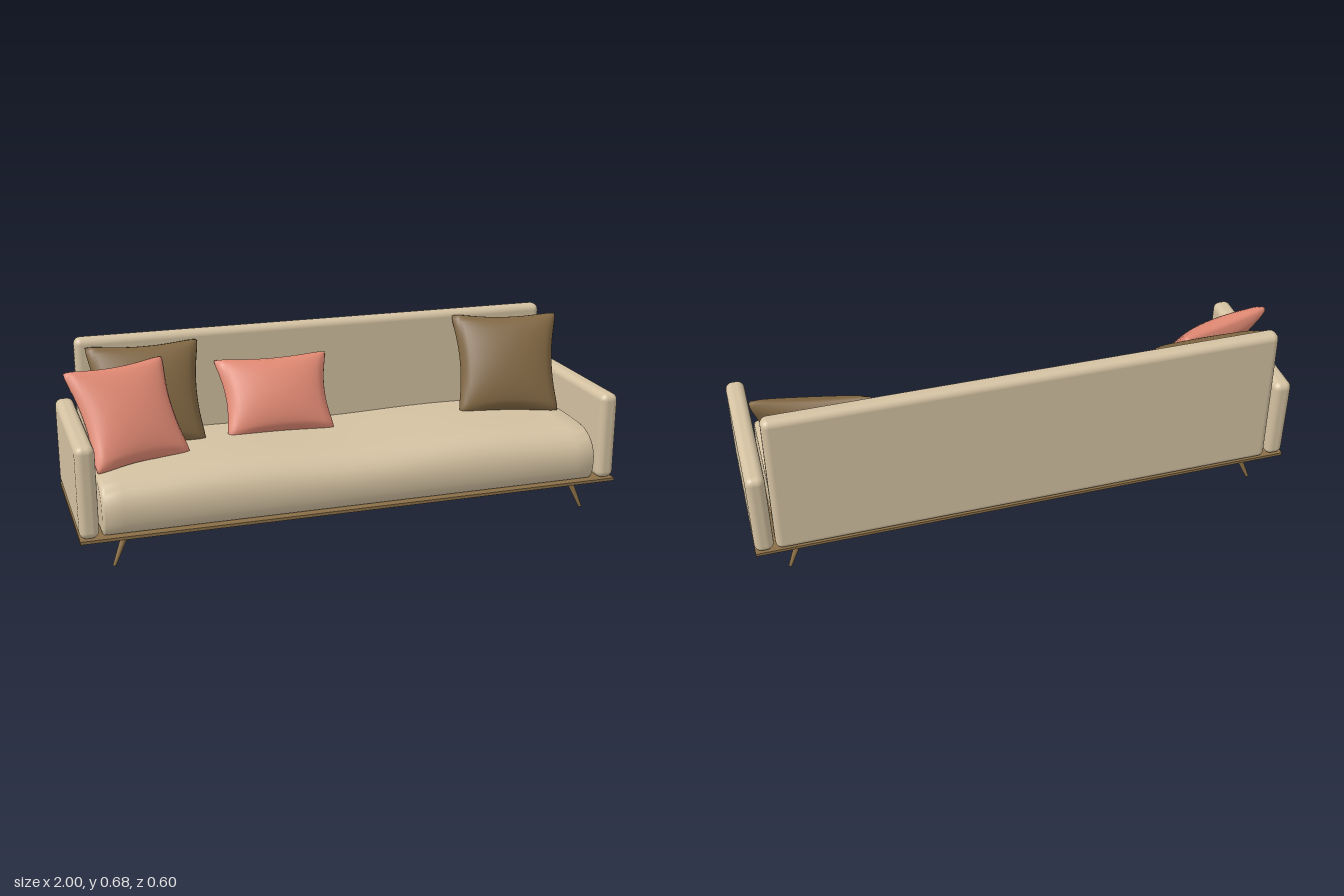
import * as THREE from 'three';
import { mergeVertices, toCreasedNormals } from 'three/addons/utils/BufferGeometryUtils.js';
import { RoundedBoxGeometry } from 'three/addons/geometries/RoundedBoxGeometry.js';

const flat = (name, color) => Object.assign(new THREE.MeshStandardMaterial({ color }), { name });

// Applies a rule to every vertex of a geometry
function warp(geometry, rule) {
  const pos = geometry.attributes.position;
  const p = new THREE.Vector3();
  for (let i = 0; i < pos.count; i++) {
    p.fromBufferAttribute(pos, i);
    rule(p);
    pos.setXYZ(i, p.x, p.y, p.z);
  }
  return geometry;
}

// Plump square pillow with pinched edges and soft corners
function pillowGeometry(w, h, thickness) {
  const g = new THREE.BoxGeometry(2, 2, 2, 24, 24, 2);
  g.deleteAttribute('uv');
  g.deleteAttribute('normal');
  const merged = mergeVertices(g);
  warp(merged, (p) => {
    const u = p.x, v = p.y;
    const fill = Math.sqrt((1 - u * u) * (1 - v * v));
    const corner = 1 - 0.05 * Math.pow(u * v, 8);
    const rim = p.z === 0 ? 1.02 : 1;
    p.x = (w / 2) * u * (1 - 0.13 * (1 - v * v)) * (1 + 0.03 * v) * corner * rim;
    p.y = (h / 2) * v * (1 - 0.1 * (1 - u * u)) * corner * rim;
    p.z *= (thickness / 2) * (0.16 + 0.84 * fill);
  });
  merged.computeVertexNormals();
  return merged;
}

// Seat cushion: rounded side profile run along x, with a slight dip in the middle
function seatGeometry() {
  const s = new THREE.Shape();
  // profile x is -z
  s.moveTo(0.2, 0.122);
  s.lineTo(-0.23, 0.122);
  s.bezierCurveTo(-0.265, 0.122, -0.274, 0.145, -0.276, 0.185);
  s.bezierCurveTo(-0.278, 0.25, -0.235, 0.288, -0.16, 0.292);
  s.bezierCurveTo(-0.05, 0.298, 0.1, 0.298, 0.2, 0.288);
  s.lineTo(0.2, 0.122);
  const bevel = 0.018, length = 1.84;
  const g = new THREE.ExtrudeGeometry(s, {
    depth: length - 2 * bevel, steps: 32, curveSegments: 10,
    bevelEnabled: true, bevelThickness: bevel, bevelSize: bevel, bevelSegments: 4,
  });
  g.translate(0, 0, -(length / 2 - bevel));
  g.rotateY(Math.PI / 2);
  warp(g, (p) => {
    const top = THREE.MathUtils.smoothstep(p.y, 0.18, 0.3);
    p.y += top * 0.005 * -Math.cos((p.x / 0.46) * Math.PI);
    p.y = Math.max(p.y, 0.117);
  });
  return toCreasedNormals(g, 0.7);
}

export function createModel() {
  const model = new THREE.Group();
  model.name = 'sofa';
  const fabric = flat('beige fabric', 0xd3c1a1);
  const wood = flat('brown wood', 0x8b6f47);
  const coral = flat('coral fabric', 0xe28a74);
  const olive = flat('olive brown fabric', 0x806642);

  function add(name, geometry, material, x = 0, y = 0, z = 0) {
    const mesh = new THREE.Mesh(geometry, material);
    mesh.name = name;
    mesh.position.set(x, y, z);
    model.add(mesh);
    return mesh;
  }

  // Base board
  add('baseBoard', new THREE.BoxGeometry(2, 0.011, 0.594), wood, 0, 0.111, 0.003);

  // Splayed tapered legs
  for (const sx of [-1, 1]) {
    for (const sz of [-1, 1]) {
      const leg = new THREE.CylinderGeometry(0.0135, 0.0065, 0.106, 16);
      warp(leg, (p) => {
        const t = 0.5 - p.y / 0.106;
        p.x += sx * 0.045 * t;
        p.z += sz * 0.016 * t;
      });
      leg.computeVertexNormals();
      const name = (sz > 0 ? 'front' : 'back') + (sx > 0 ? 'Left' : 'Right') + 'Leg';
      add(name, leg, wood, sx * 0.84, 0.053, sz * 0.243);
    }
  }

  // Armrests
  for (const sx of [-1, 1]) {
    add(sx > 0 ? 'leftArm' : 'rightArm',
      new RoundedBoxGeometry(0.068, 0.33, 0.596, 5, 0.026), fabric, sx * 0.966, 0.282, 0.001);
  }

  // Backrest, thinner towards the top
  const back = new RoundedBoxGeometry(1.845, 0.558, 0.09, 5, 0.025);
  warp(back, (p) => {
    const t = p.y / 0.558 + 0.5;
    p.z += p.z > 0 ? -0.025 * t : 0.004 * t;
    p.x *= 1.004 - 0.006 * t;
  });
  add('backrest', back, fabric, 0, 0.396, -0.254);

  add('seatCushion', seatGeometry(), fabric);

  // Loose pillows, leaning back: size, centre, turn and tilt
  const pillows = [
    ['rightFrontPillow', coral, 0.38, 0.385, [-0.775, 0.458, 0.015], 0.31, -0.61],
    ['rightBackPillow', olive, 0.41, 0.39, [-0.682, 0.475, -0.135], 0.0, -0.45],
    ['middlePillow', coral, 0.43, 0.31, [-0.2, 0.43, -0.138], 0, -0.55],
    ['leftPillow', olive, 0.41, 0.4, [0.725, 0.48, -0.108], -0.215, -0.43],
  ];
  for (const [name, material, w, h, centre, turn, tilt] of pillows) {
    const pillow = add(name, pillowGeometry(w, h, 0.13), material, ...centre);
    pillow.rotation.set(tilt, turn, 0, 'YXZ');
  }
  return model;
}
